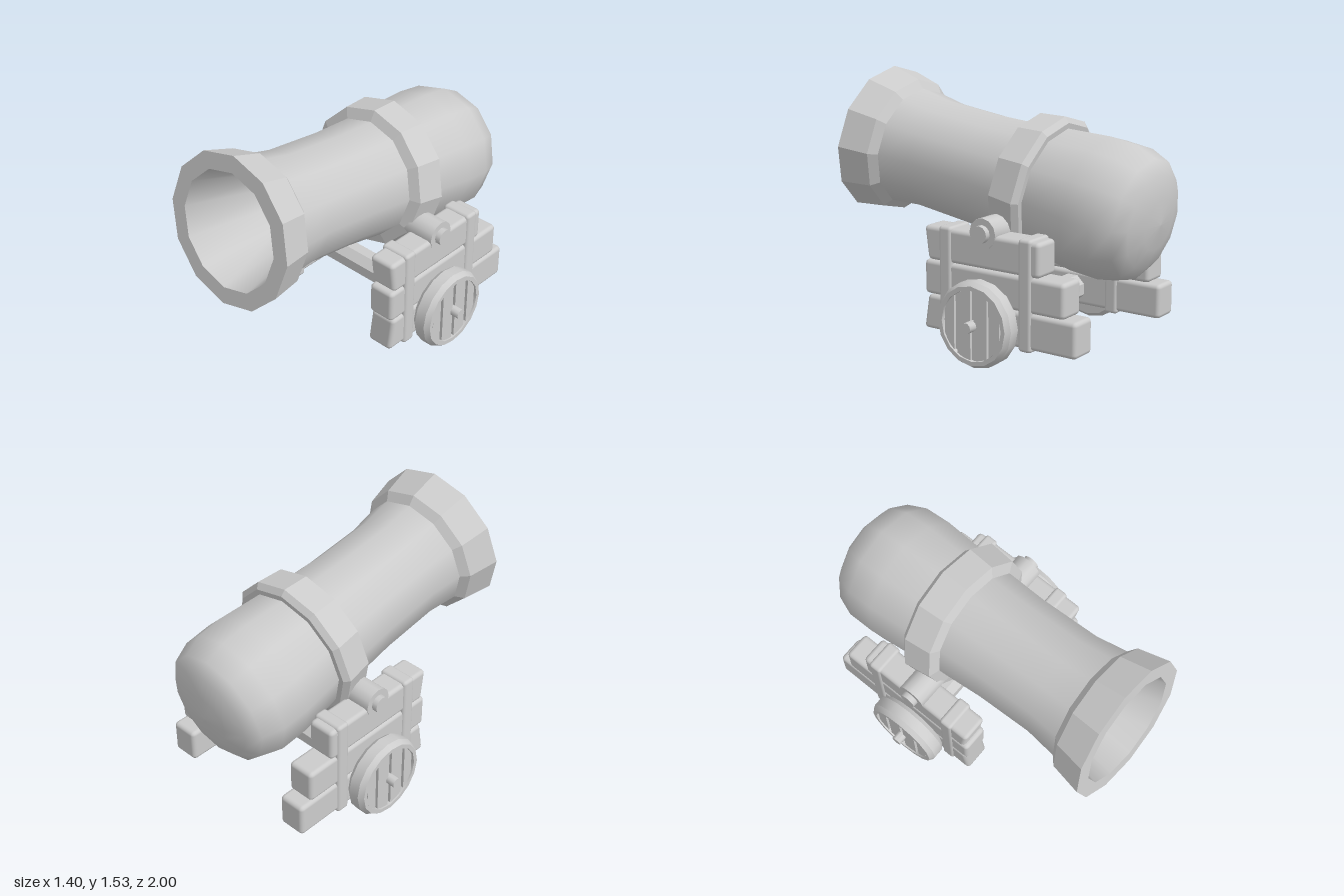
import * as THREE from 'three';
import { toCreasedNormals } from 'three/addons/utils/BufferGeometryUtils.js';
import { RoundedBoxGeometry } from 'three/addons/geometries/RoundedBoxGeometry.js';

const smooth = new THREE.MeshStandardMaterial({ color: 0xcccccc });
const flat = new THREE.MeshStandardMaterial({ color: 0xcccccc, flatShading: true });

function add(parent, name, geometry, material = smooth) {
  const mesh = new THREE.Mesh(geometry, material);
  mesh.name = name;
  parent.add(mesh);
  return mesh;
}

// Lathe from [radius, height] pairs, running upward on the outside
function lathe(points, sides) {
  return new THREE.LatheGeometry(points.map(([r, h]) => new THREE.Vector2(r, h)), sides);
}

// Cylinder lying along x from x0 to x1
function rod(r, x0, x1, sides) {
  const g = new THREE.CylinderGeometry(r, r, Math.abs(x1 - x0), sides);
  g.rotateZ(-Math.PI / 2).translate((x0 + x1) / 2, 0, 0);
  return toCreasedNormals(g, 0.7);
}

// Twelve-sided barrel; profiles are [radius, distance behind the muzzle]
function buildBarrel() {
  const barrel = new THREE.Group();
  barrel.name = 'barrel';
  const ring = (pts) => lathe(pts.map(([r, s]) => [r, -s]), 12);
  add(barrel, 'barrelBody', ring([
    [0, 1.945], [0.15, 1.933], [0.27, 1.896], [0.347, 1.843], [0.393, 1.72], [0.397, 1.55],
    [0.372, 1.27], [0.35, 1.06], [0.334, 0.8], [0.332, 0.43], [0.36, 0.22],
  ]));
  add(barrel, 'middleBand', ring([[0.36, 1.28], [0.405, 1.28], [0.435, 1.25], [0.415, 1.085], [0.34, 1.06]]), flat);
  add(barrel, 'muzzleRing', ring([[0.35, 0.242], [0.405, 0.192], [0.445, 0], [0.345, 0]]), flat);
  add(barrel, 'bore', toCreasedNormals(ring([[0.345, 0], [0.215, 0.54], [0, 0.54]]), 0.65));
  barrel.rotation.x = Math.PI / 2 - 0.153;
  barrel.position.set(0, 1.0875, 0.9325);
  return barrel;
}

// Vertical wheel board, cut to the circle of radius R between z = a and z = b
function slatGeometry(a, b, R) {
  const top = [];
  for (let i = 0; i <= 4; i++) {
    const z = a + ((b - a) * i) / 4;
    top.push(new THREE.Vector2(z, Math.sqrt(R * R - z * z)));
  }
  const bottom = top.map((p) => new THREE.Vector2(p.x, -p.y)).reverse();
  const g = new THREE.ExtrudeGeometry(new THREE.Shape([...top, ...bottom]), { depth: 0.02, bevelEnabled: false });
  return g.rotateY(Math.PI / 2).translate(0.627, 0, 0);
}

function buildWheel(side) {
  const wheel = new THREE.Group();
  wheel.name = 'wheel';
  const rim = lathe([
    [0, 0.533], [0.222, 0.533], [0.245, 0.56], [0.245, 0.625], [0.225, 0.656],
    [0.2, 0.656], [0.2, 0.63], [0, 0.63],
  ], 16);
  add(wheel, 'wheelRim', toCreasedNormals(rim.rotateZ(-Math.PI / 2), 0.5));
  const edges = [-0.195, -0.11, 0, 0.11, 0.195];
  for (let i = 0; i < 4; i++) {
    add(wheel, 'wheelBoard', slatGeometry(edges[i] + 0.011, edges[i + 1] - 0.011, 0.196));
  }
  add(wheel, 'wheelPin', rod(0.031, 0.6, 0.702, 10));
  wheel.position.set(0, 0.245, -0.198);
  wheel.rotation.y = side > 0 ? 0 : Math.PI;
  return wheel;
}

// Plank with a slanted front end: z0 rear, zt front at top, zb front at bottom
function plank(y0, y1, z0, zt, zb) {
  const mid = (zt + zb) / 2;
  const g = new RoundedBoxGeometry(0.168, y1 - y0, mid - z0, 2, 0.025);
  const p = g.attributes.position;
  for (let i = 0; i < p.count; i++) {
    if (p.getZ(i) > 0) p.setZ(i, p.getZ(i) + ((zt - zb) * p.getY(i)) / (y1 - y0));
  }
  return g.translate(0, (y0 + y1) / 2, (mid + z0) / 2);
}

function buildCarriageSide(side) {
  const g = new THREE.Group();
  g.name = side > 0 ? 'leftCarriageSide' : 'rightCarriageSide';
  const x = side * 0.446;
  add(g, 'topPlank', plank(0.535, 0.73, -0.555, 0.222, 0.197)).position.x = x;
  add(g, 'middlePlank', plank(0.335, 0.533, -0.715, 0.222, 0.222)).position.x = x;
  add(g, 'bottomPlank', plank(0.13, 0.333, -0.79, 0.2, 0.232)).position.x = x;
  for (const z of [0.07, -0.466]) {
    const strap = new RoundedBoxGeometry(0.188, 0.628, 0.085, 2, 0.02);
    add(g, 'strap', strap).position.set(x, 0.428, z);
  }
  // Trunnion and its pin
  for (const [name, r, end] of [['trunnion', 0.087, 0.533], ['trunnionPin', 0.05, 0.566]]) {
    add(g, name, rod(r, side * 0.3, side * end, 12)).position.set(0, 0.735, -0.187);
  }
  g.add(buildWheel(side));
  return g;
}

// Eight-sided axle with a chip in its underside near one end
function buildAxle() {
  const g = new THREE.CylinderGeometry(0.086, 0.086, 0.8, 8, 16);
  g.rotateY(Math.PI / 8).rotateZ(-Math.PI / 2);
  const p = g.attributes.position;
  for (let i = 0; i < p.count; i++) {
    const depth = 0.03 * Math.max(0, 1 - Math.abs(p.getX(i) - 0.25) / 0.08);
    if (p.getY(i) < -0.05) p.setY(i, p.getY(i) + depth);
  }
  return g;
}

export function createModel() {
  const model = new THREE.Group();
  model.name = 'cannon';
  model.add(buildBarrel());
  for (const side of [1, -1]) model.add(buildCarriageSide(side));
  add(model, 'axle', buildAxle(), flat).position.set(0, 0.23, -0.198);
  return model;
}
